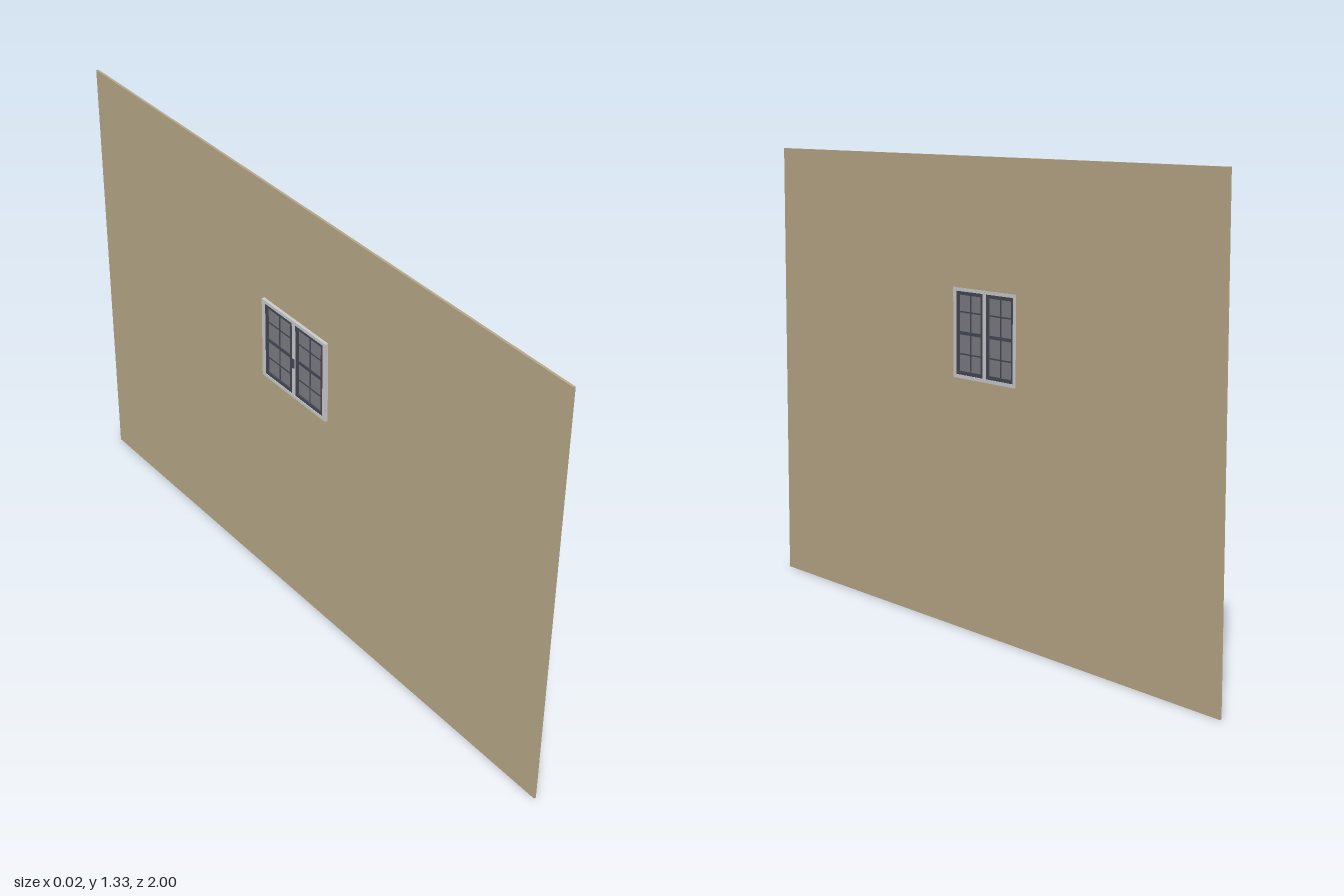
import * as THREE from 'three';

const material = (color) => new THREE.MeshStandardMaterial({ color });
const wallMat = material(0xb8a888);
const frameMat = material(0xcccccc);
const trimMat = material(0x454854);
const glassMat = material(0x7c7d82);

// Rectangle outline in the plane of the wall: u runs along -z, v is up
function rectangle(path, u, v, w, h) {
  path.moveTo(u - w / 2, v - h / 2);
  path.lineTo(u + w / 2, v - h / 2);
  path.lineTo(u + w / 2, v + h / 2);
  path.lineTo(u - w / 2, v + h / 2);
  path.closePath();
  return path;
}

// Flat panel with one rectangular opening, from x0 to x1
function panel(name, outer, hole, x0, x1, mat) {
  const shape = rectangle(new THREE.Shape(), ...outer);
  shape.holes.push(rectangle(new THREE.Path(), ...hole));
  const geometry = new THREE.ExtrudeGeometry(shape, { depth: x1 - x0, bevelEnabled: false });
  geometry.rotateY(Math.PI / 2).translate(x0, 0, 0);
  const mesh = new THREE.Mesh(geometry, mat);
  mesh.name = name;
  return mesh;
}

function box(name, [sx, sy, sz], [x, y, z], mat) {
  const mesh = new THREE.Mesh(new THREE.BoxGeometry(sx, sy, sz), mat);
  mesh.position.set(x, y, z);
  mesh.name = name;
  return mesh;
}

export function createModel() {
  const model = new THREE.Group();
  model.name = 'wallWithWindow';

  const U = 0.043, V = 0.843; // window centre
  const W = 0.286, H = 0.254; // window outer size

  // Wall with the window opening
  model.add(panel('wall', [0, 0.667, 2, 1.334], [U, V, W - 0.004, H - 0.004], 0, 0.007, wallMat));

  // Fixed frame around both sashes
  const window = new THREE.Group();
  window.name = 'window';
  window.add(panel('windowFrame', [U, V, W, H], [U, V, W - 0.026, H - 0.02], -0.009, 0.0075, frameMat));
  window.add(box('centrePost', [0.0145, H - 0.02, 0.014], [-0.001, V, -U], frameMat));

  // Two sashes, each with rim, glass and glazing bars
  const sashW = 0.123, sashH = H - 0.02;
  for (const side of [-1, 1]) {
    const sash = new THREE.Group();
    sash.name = side < 0 ? 'leftSash' : 'rightSash';
    const u = U + side * (0.007 + sashW / 2);
    sash.add(panel('sashRim', [u, V, sashW, sashH], [u, V, sashW - 0.02, sashH - 0.02], -0.007, 0.0055, trimMat));
    sash.add(box('glass', [0.003, sashH - 0.02, sashW - 0.02], [-0.001, V, -u], glassMat));
    sash.add(box('middleBar', [0.009, 0.009, sashW - 0.02], [-0.001, V, -u], trimMat));
    sash.add(box('verticalBar', [0.006, sashH - 0.02, 0.004], [-0.001, V, -u], trimMat));
    for (const s of [-1, 1]) {
      sash.add(box('thinBar', [0.006, 0.004, sashW - 0.02], [-0.001, V + s * 0.059, -u], trimMat));
    }
    window.add(sash);
  }

  // Handle on the inner side
  window.add(box('handlePlate', [0.0015, 0.03, 0.008], [-0.0088, V - 0.012, -U], trimMat));
  window.add(box('handleLever', [0.002, 0.02, 0.005], [-0.0105, V - 0.016, -U], trimMat));

  model.add(window);
  return model;
}
